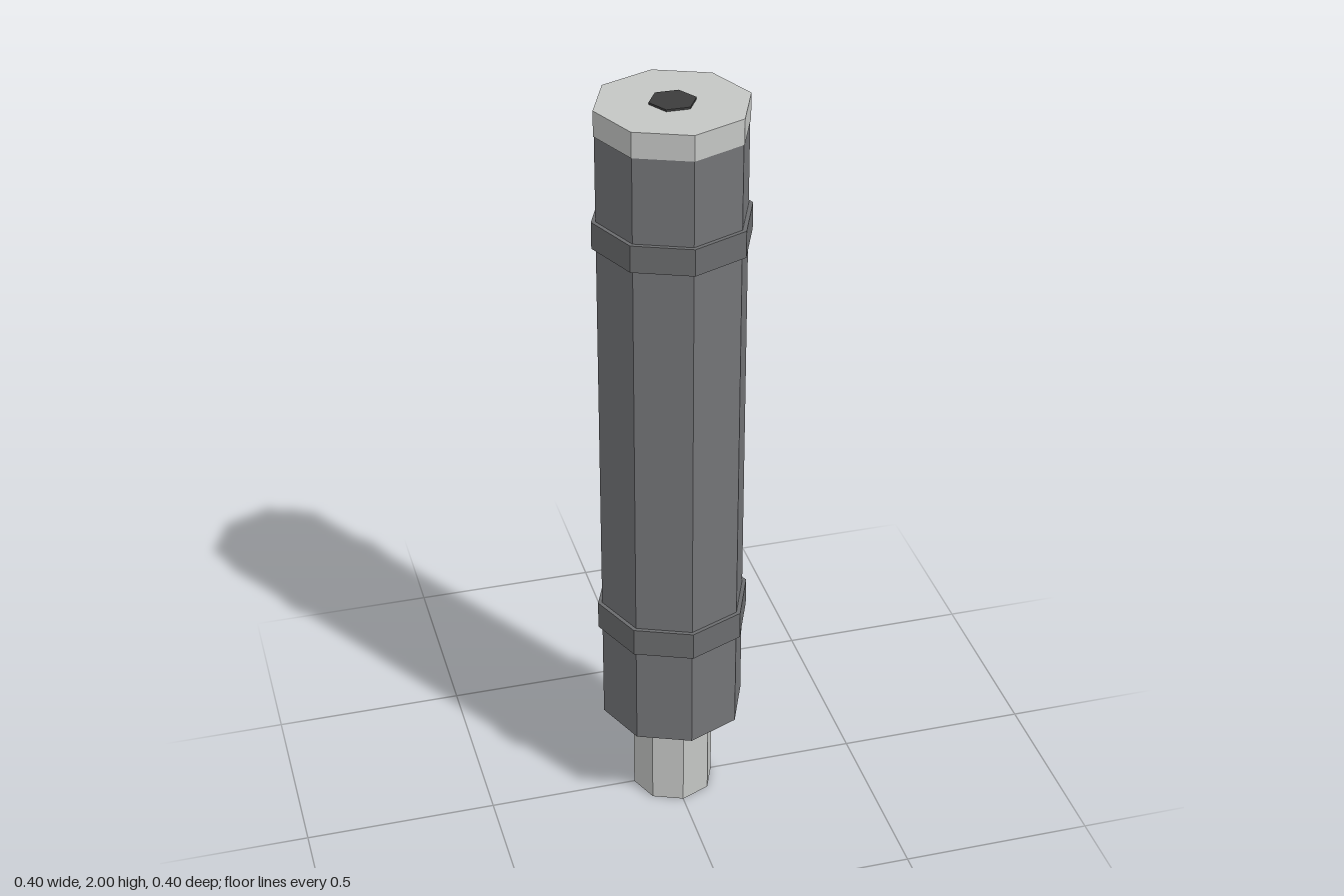
import * as THREE from 'three';

function material(name, color) {
  const m = new THREE.MeshStandardMaterial({ color, flatShading: true, side: THREE.DoubleSide });
  m.name = name;
  return m;
}

export function createModel() {
  const group = new THREE.Group();
  group.name = 'octagonalTube';

  const darkGrey = material('dark grey', 0x737477);
  const collarGrey = material('collar grey', 0x6b6c6e);
  const silver = material('silver', 0xc4c6c4);
  const black = material('black', 0x3c3c3c);

  // Upright prism from y0 to y1; eight sides have corners on the axes
  function prism(name, radius, y0, y1, mat, open = false, sides = 8, turn = 0) {
    const geo = new THREE.CylinderGeometry(radius, radius, y1 - y0, sides, 1, open, turn);
    geo.translate(0, (y0 + y1) / 2, 0);
    const mesh = new THREE.Mesh(geo, mat);
    mesh.name = name;
    group.add(mesh);
  }

  // Hollow tube walls, open at the bottom
  prism('neck', 0.108, 0, 0.26, silver, true);
  prism('body', 0.189, 0.26, 1.93, darkGrey, true);

  // Raised bands around the body
  prism('lowerCollar', 0.2, 0.535, 0.61, collarGrey);
  prism('upperCollar', 0.2, 1.64, 1.71, collarGrey);

  // End cap with a thin hexagonal bore plate
  prism('endCap', 0.191, 1.93, 1.995, silver);
  prism('bore', 0.058, 1.995, 2, black, false, 6, Math.PI / 6);

  return group;
}
